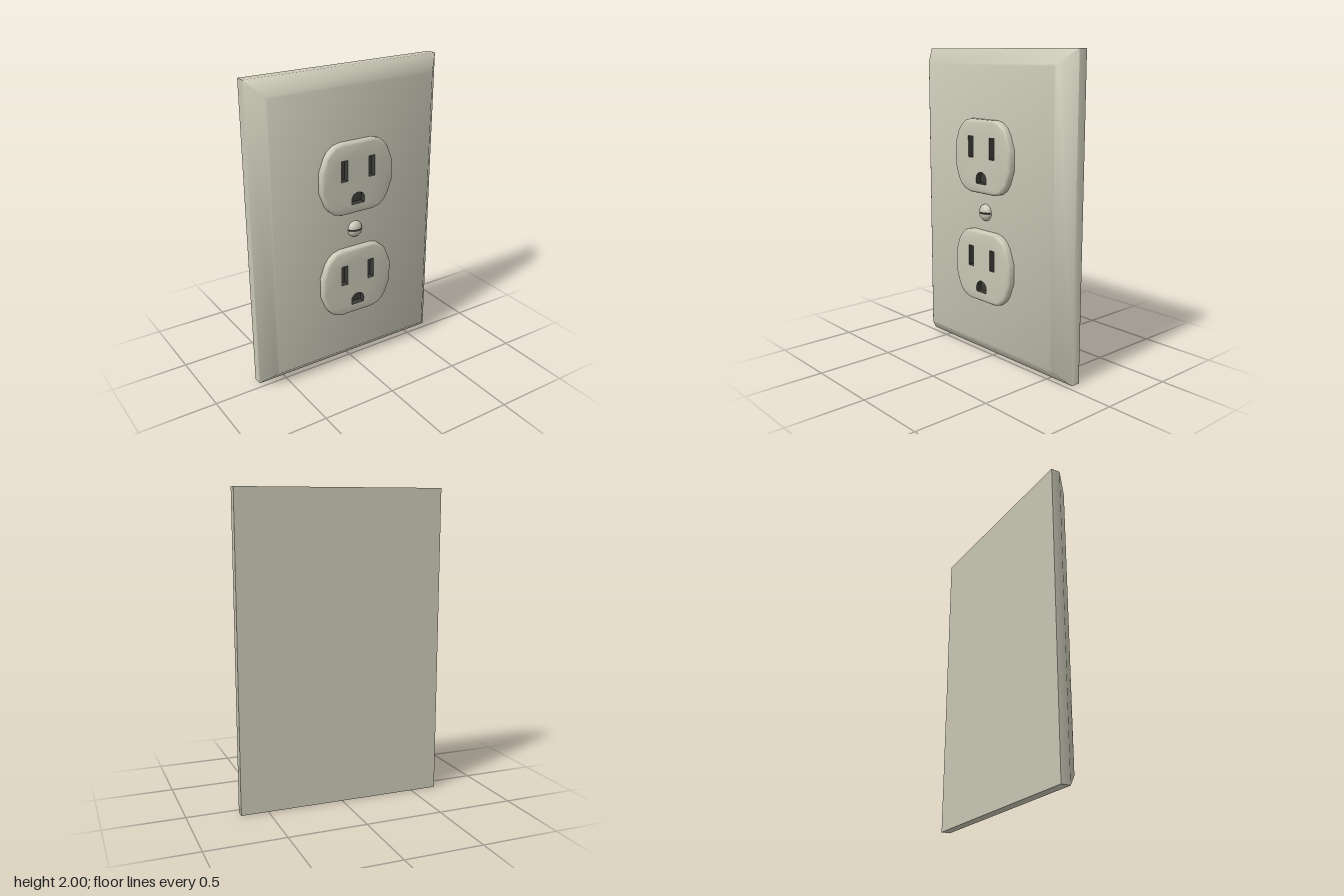
import * as THREE from 'three';
import { mergeGeometries, toCreasedNormals } from 'three/addons/utils/BufferGeometryUtils.js';

const ivory = new THREE.MeshStandardMaterial({ color: 0xc8c6b4 });
const dark = new THREE.MeshStandardMaterial({ color: 0x3a3a38, side: THREE.DoubleSide });

const PLATE_FRONT = 0.058, FACE_FRONT = 0.1;

// Skin between outlines: each ring is { z, pts }, counter-clockwise, back to front
function loft(rings) {
  const pos = [];
  const n = rings[0].pts.length;
  for (let i = 0; i + 1 < rings.length; i++) {
    const lo = rings[i], hi = rings[i + 1];
    for (let j = 0; j < n; j++) {
      const k = (j + 1) % n;
      const a = [lo.pts[j].x, lo.pts[j].y, lo.z], b = [lo.pts[k].x, lo.pts[k].y, lo.z];
      const c = [hi.pts[k].x, hi.pts[k].y, hi.z], d = [hi.pts[j].x, hi.pts[j].y, hi.z];
      pos.push(...a, ...b, ...c, ...a, ...c, ...d);
    }
  }
  return new THREE.BufferGeometry().setAttribute('position', new THREE.Float32BufferAttribute(pos, 3));
}

// Flat cap at depth z, with optional holes
function cap(pts, z, holes = []) {
  const shape = new THREE.Shape(pts);
  shape.holes = holes.map((h) => new THREE.Path(h));
  const g = new THREE.ShapeGeometry(shape).toNonIndexed().translate(0, 0, z);
  g.deleteAttribute('uv');
  g.deleteAttribute('normal');
  return g;
}

const rect = (cx, cy, w, h) => [[-1, -1], [1, -1], [1, 1], [-1, 1]]
  .map(([sx, sy]) => new THREE.Vector2(cx + sx * w / 2, cy + sy * h / 2));

function mesh(name, geometry, material = ivory) {
  const m = new THREE.Mesh(geometry, material);
  m.name = name;
  return m;
}

function solid(parts, crease) {
  const g = mergeGeometries(parts);
  g.computeVertexNormals();
  return toCreasedNormals(g, crease);
}

// Bevelled wall plate, centred on the origin
function makePlate() {
  const rings = [[-0.1, 0], [-0.04, 0], [0.05, 0.087], [PLATE_FRONT, 0.1]]
    .map(([z, inset]) => ({ z, pts: rect(0, 0, 1.35 - 2 * inset, 2 - 2 * inset) }));
  const back = cap(rings[0].pts, 0.1).rotateY(Math.PI);
  return mesh('wallPlate', solid([loft(rings), cap(rings[3].pts, PLATE_FRONT), back], 1.13));
}

// One socket face with two blade slots and an arched ground hole
function makeSocket() {
  const group = new THREE.Group();
  const quarter = [[0.26, 0.065], [0.226, 0.155], [0.202, 0.19], [0.165, 0.219], [0.115, 0.2325]];
  const flipped = [...quarter].reverse();
  const outline = [
    ...quarter,
    ...flipped.map(([x, y]) => [-x, y]),
    ...quarter.map(([x, y]) => [-x, -y]),
    ...flipped.map(([x, y]) => [x, -y]),
  ];
  const rings = [[0.05, 0], [0.086, 0], [0.095, 0.005], [FACE_FRONT, 0.016]].map(([z, inset]) => ({
    z,
    pts: outline.map(([x, y]) => new THREE.Vector2(x * (1 - inset / 0.26), y * (1 - inset / 0.2325))),
  }));

  const ground = [new THREE.Vector2(-0.046, -0.17), new THREE.Vector2(0.046, -0.17)];
  for (let i = 0; i <= 8; i++) {
    const a = Math.PI * i / 8;
    ground.push(new THREE.Vector2(0.048 * Math.cos(a), -0.139 + 0.044 * Math.sin(a)));
  }
  const holes = {
    leftSlot: rect(0.1, 0.058, 0.045, 0.134),
    rightSlot: rect(-0.1, 0.058, 0.045, 0.134),
    groundHole: ground,
  };

  group.add(mesh('socketFace', solid([loft(rings), cap(rings[3].pts, FACE_FRONT, Object.values(holes))], 0.9)));

  // Dark recess lining behind each opening
  for (const [name, pts] of Object.entries(holes)) {
    const inner = [...pts].reverse();
    const walls = loft([{ z: 0.062, pts: inner }, { z: FACE_FRONT, pts: inner }]);
    group.add(mesh(name, solid([walls, cap(pts, 0.062)], 0.6), dark));
  }
  return group;
}

// Domed screw head split by a horizontal slot
function makeScrew() {
  const group = new THREE.Group();
  const profile = [];
  for (let i = 0; i <= 8; i++) {
    const a = Math.PI / 2 * i / 8;
    profile.push(new THREE.Vector2(i === 8 ? 0 : 0.05 * Math.cos(a), 0.038 * Math.sin(a)));
  }
  const section = new THREE.Shape([...profile, ...profile.slice(0, 8).reverse().map((p) => new THREE.Vector2(-p.x, p.y))]);
  for (const turn of [0, Math.PI]) {
    const half = new THREE.Group();
    half.name = 'screwHalf';
    const dome = new THREE.LatheGeometry(profile, 16, Math.PI / 2, Math.PI).rotateX(Math.PI / 2).translate(0, 0.004, 0);
    const wall = new THREE.ShapeGeometry(section).rotateX(Math.PI / 2).translate(0, 0.004, 0);
    half.add(mesh('screwDome', dome), mesh('screwSlotWall', wall, dark));
    half.rotation.z = turn;
    group.add(half);
  }
  const floor = mesh('screwSlotFloor', new THREE.BoxGeometry(0.096, 0.008, 0.012), dark);
  floor.position.z = 0.006;
  group.add(floor);
  return group;
}

export function createModel() {
  const model = new THREE.Group();
  model.name = 'wallOutlet';

  const plate = makePlate();
  plate.position.y = 1;
  model.add(plate);

  for (const [name, y] of [['upperSocket', 1.337], ['lowerSocket', 0.628]]) {
    const socket = makeSocket();
    socket.name = name;
    socket.position.y = y;
    model.add(socket);
  }

  const screw = makeScrew();
  screw.name = 'screw';
  screw.position.set(0, 0.98, PLATE_FRONT);
  model.add(screw);
  return model;
}
